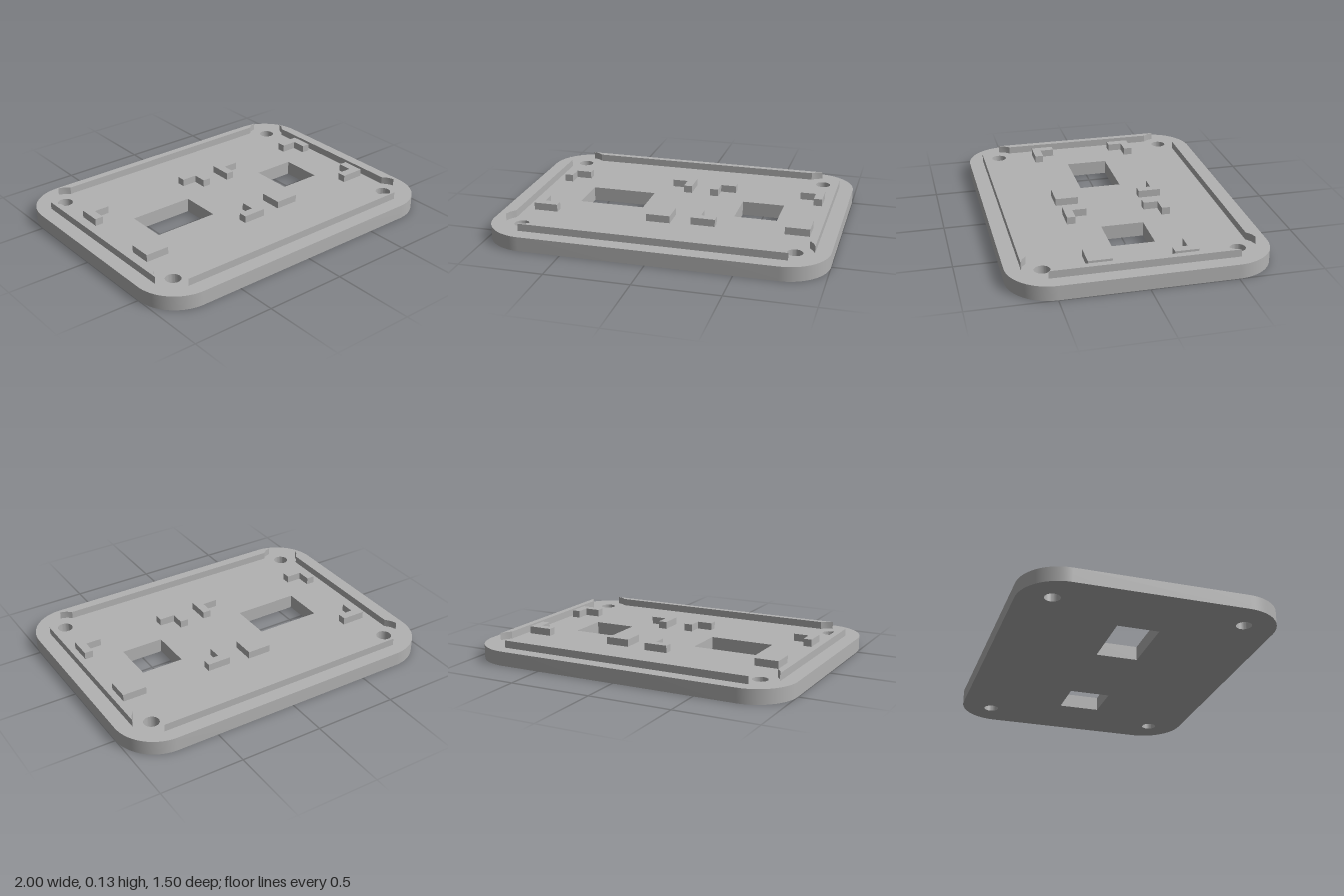
import * as THREE from 'three';
import { toCreasedNormals } from 'three/addons/utils/BufferGeometryUtils.js';

const PLATE_TOP = 0.086, RIB_TOP = 0.13;
const HOLE_X = 0.805, HOLE_Z = 0.553, Z_SHIFT = -0.003;

// Extrude an x/z outline upward from y0 to y1
function slab(shape, y0, y1) {
  const g = new THREE.ExtrudeGeometry(shape, { depth: y1 - y0, bevelEnabled: false, curveSegments: 20 });
  g.rotateX(-Math.PI / 2);
  g.translate(0, y0, 0);
  return toCreasedNormals(g, 0.5);
}

// Shapes are drawn with y = -z
const outline = (pts, Type = THREE.Shape) => new Type(pts.map(([x, z]) => new THREE.Vector2(x, -z)));

function rectPath(x0, x1, z0, z1) {
  return outline([[x0, z0], [x1, z0], [x1, z1], [x0, z1]], THREE.Path);
}

export function createModel() {
  const group = new THREE.Group();
  const grey = new THREE.MeshStandardMaterial({ color: 0xb2b2b2 });
  grey.name = 'grey';
  const add = (name, geometry) => {
    const mesh = new THREE.Mesh(geometry, grey);
    mesh.name = name;
    group.add(mesh);
  };

  // Rounded base plate with screw holes and two windows
  const W = 1, D = 0.75, R = 0.25;
  const plate = new THREE.Shape();
  [[1, 1], [-1, 1], [-1, -1], [1, -1]].forEach(([sx, sy], i) => {
    plate.absarc(sx * (W - R), sy * (D - R), R, i * Math.PI / 2, (i + 1) * Math.PI / 2, false);
  });
  for (const sx of [-1, 1]) for (const sz of [-1, 1]) {
    const hole = new THREE.Path();
    hole.absarc(sx * HOLE_X, -(sz * HOLE_Z + Z_SHIFT), 0.045, 0, Math.PI * 2, true);
    plate.holes.push(hole);
  }
  plate.holes.push(rectPath(-0.594, -0.197, -0.128, 0.123), rectPath(0.37, 0.626, -0.128, 0.123));
  add('basePlate', slab(plate, 0, PLATE_TOP));

  // Locating ribs along the edges, with ends scooped out around the screw holes
  const longEnd = [[0.785, 0.664], [0.747, 0.651], [0.72, 0.628]];
  const sideEnd = [[0.912, 0.537], [0.899, 0.503], [0.874, 0.472]];
  for (const s of [-1, 1]) {
    const long = [...longEnd, ...longEnd.map(([x, z]) => [-x, z]).reverse()];
    add(s > 0 ? 'frontRib' : 'backRib', slab(outline(long.map(([x, z]) => [x, s * z + Z_SHIFT])), PLATE_TOP, RIB_TOP));
    const side = [...sideEnd, ...sideEnd.map(([x, z]) => [x, -z]).reverse()];
    add(s > 0 ? 'leftRib' : 'rightRib', slab(outline(side.map(([x, z]) => [s * x, z + Z_SHIFT])), PLATE_TOP, RIB_TOP));
  }

  // L-shaped corner brackets around each window
  const T = 0.051, LX = 0.145, LZ = 0.137;
  const brackets = [
    { name: 'wideWindowBracket', cx: -0.395, hx: 0.423, hz: 0.328 },
    { name: 'squareWindowBracket', cx: 0.5, hx: 0.35, hz: 0.312 },
  ];
  for (const { name, cx, hx, hz } of brackets) {
    for (const sx of [-1, 1]) for (const sz of [-1, 1]) {
      const ell = [[hx, hz], [hx - LX, hz], [hx - LX, hz - T], [hx - T, hz - T], [hx - T, hz - LZ], [hx, hz - LZ]];
      add(name, slab(outline(ell.map(([x, z]) => [cx + sx * x, sz * z + Z_SHIFT])), PLATE_TOP, RIB_TOP));
    }
  }
  return group;
}
